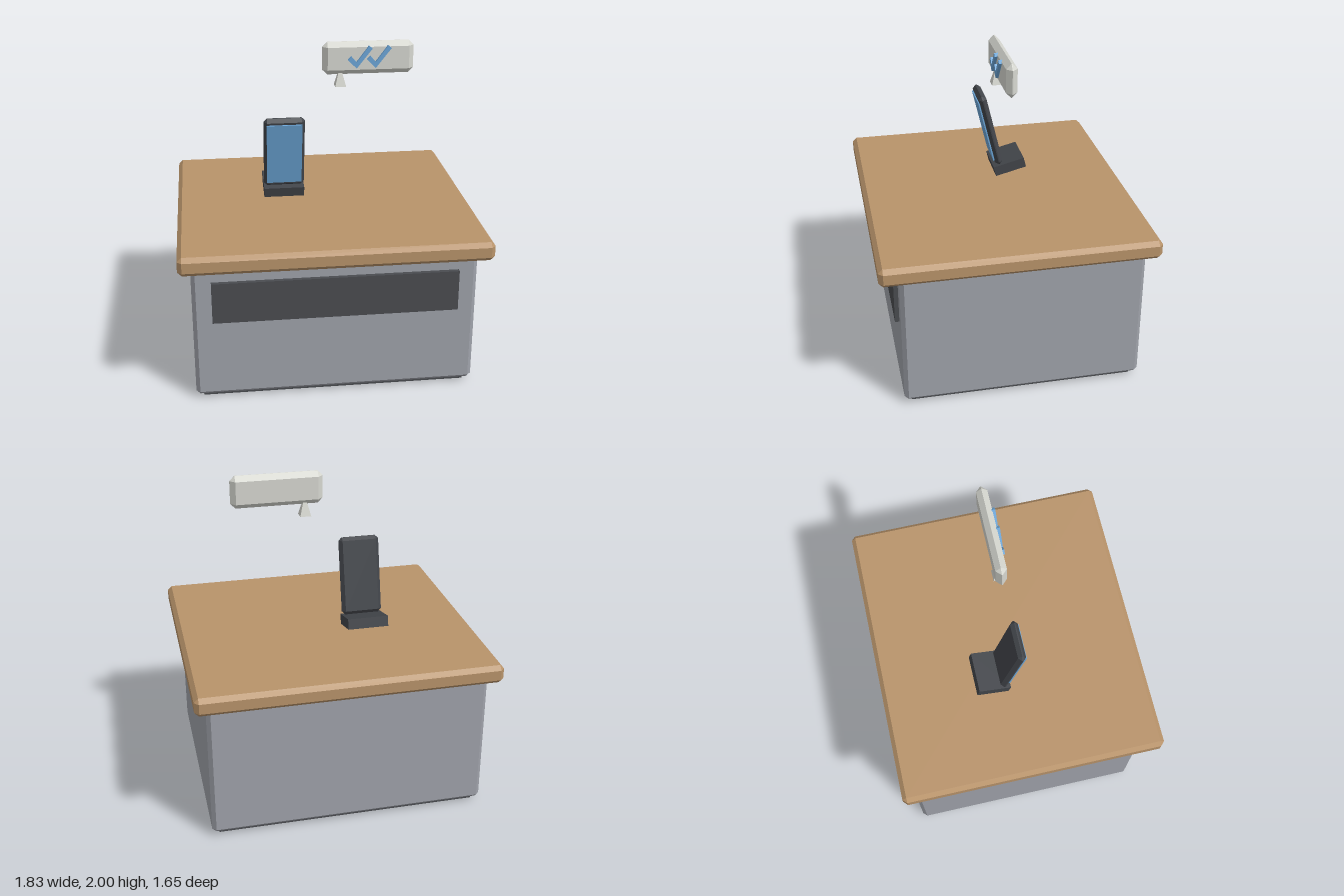
import * as THREE from 'three';
import { ConvexGeometry } from 'three/addons/geometries/ConvexGeometry.js';

const paint = (name, color) => {
  const m = new THREE.MeshStandardMaterial({ color });
  m.name = name;
  return m;
};

// Box with every edge cut by a single flat chamfer
function chamferBox(w, h, d, c) {
  const points = [];
  for (const sx of [-1, 1]) for (const sy of [-1, 1]) for (const sz of [-1, 1]) {
    const x = w / 2, y = h / 2, z = d / 2;
    points.push(
      new THREE.Vector3(sx * x, sy * (y - c), sz * (z - c)),
      new THREE.Vector3(sx * (x - c), sy * y, sz * (z - c)),
      new THREE.Vector3(sx * (x - c), sy * (y - c), sz * z),
    );
  }
  return new ConvexGeometry(points);
}

export function createModel() {
  const wood = paint('wood', 0xb8936a);
  const grey = paint('cabinet grey', 0x9fa2aa);
  const dark = paint('dark trim', 0x4a4c50);
  const black = paint('device charcoal', 0x42454a);
  const blue = paint('blue', 0x6ca6d8);
  const white = paint('sign off-white', 0xd6d7d0);

  const model = new THREE.Group();
  model.name = 'serviceCounter';
  const add = (parent, name, geometry, material, x, y, z) => {
    const mesh = new THREE.Mesh(geometry, material);
    mesh.name = name;
    mesh.position.set(x, y, z);
    parent.add(mesh);
    return mesh;
  };

  // Counter
  add(model, 'plinth', new THREE.BoxGeometry(1.6, 0.04, 1.365), dark, 0, 0.02, -0.0225);
  add(model, 'cabinet', chamferBox(1.69, 0.855, 1.455, 0.024), grey, 0, 0.4525, -0.0225);
  add(model, 'frontPanel', new THREE.BoxGeometry(1.46, 0.255, 0.05), dark, 0, 0.6525, 0.706);
  add(model, 'countertop', chamferBox(1.83, 0.115, 1.65, 0.026), wood, 0, 0.9335, 0);

  // Tilted tablet on its cradle
  const cradle = add(model, 'cradle', new THREE.BoxGeometry(0.255, 0.065, 0.205), black, -0.238, 1.047, -0.135);
  cradle.rotation.x = 0.25;
  const tablet = new THREE.Group();
  tablet.name = 'tablet';
  tablet.position.set(-0.238, 1.304, -0.013);
  tablet.rotation.x = 0.235;
  model.add(tablet);
  add(tablet, 'tabletBody', chamferBox(0.255, 0.49, 0.05, 0.021), black, 0, 0, 0);
  add(tablet, 'screen', new THREE.BoxGeometry(0.22, 0.42, 0.009), blue, 0, 0, 0.0285);

  // Floating sign with its pointer
  const sign = new THREE.Group();
  sign.name = 'sign';
  sign.position.set(0.281, 1.899, 0);
  model.add(sign);
  add(sign, 'signBoard', chamferBox(0.562, 0.202, 0.066, 0.031), white, 0, 0, 0);
  const pointer = new THREE.CylinderGeometry(0.016, 0.048, 0.085, 4).rotateY(Math.PI / 4).toNonIndexed();
  pointer.computeVertexNormals();
  add(sign, 'pointer', pointer, white, -0.17, -0.1315, 0);

  // Pair of raised tick marks
  const tick = new THREE.Shape([
    [-0.128, -0.005], [-0.075, -0.058], [0.021, 0.063],
    [0.0, 0.079], [-0.075, -0.02], [-0.107, 0.016],
  ].map(([x, y]) => new THREE.Vector2(x, y)));
  const tickGeometry = new THREE.ExtrudeGeometry(tick, { depth: 0.022, bevelEnabled: false });
  for (const [i, x] of [0, 0.117].entries()) add(sign, `tick${i + 1}`, tickGeometry, blue, x, 0, 0.028);

  return model;
}
